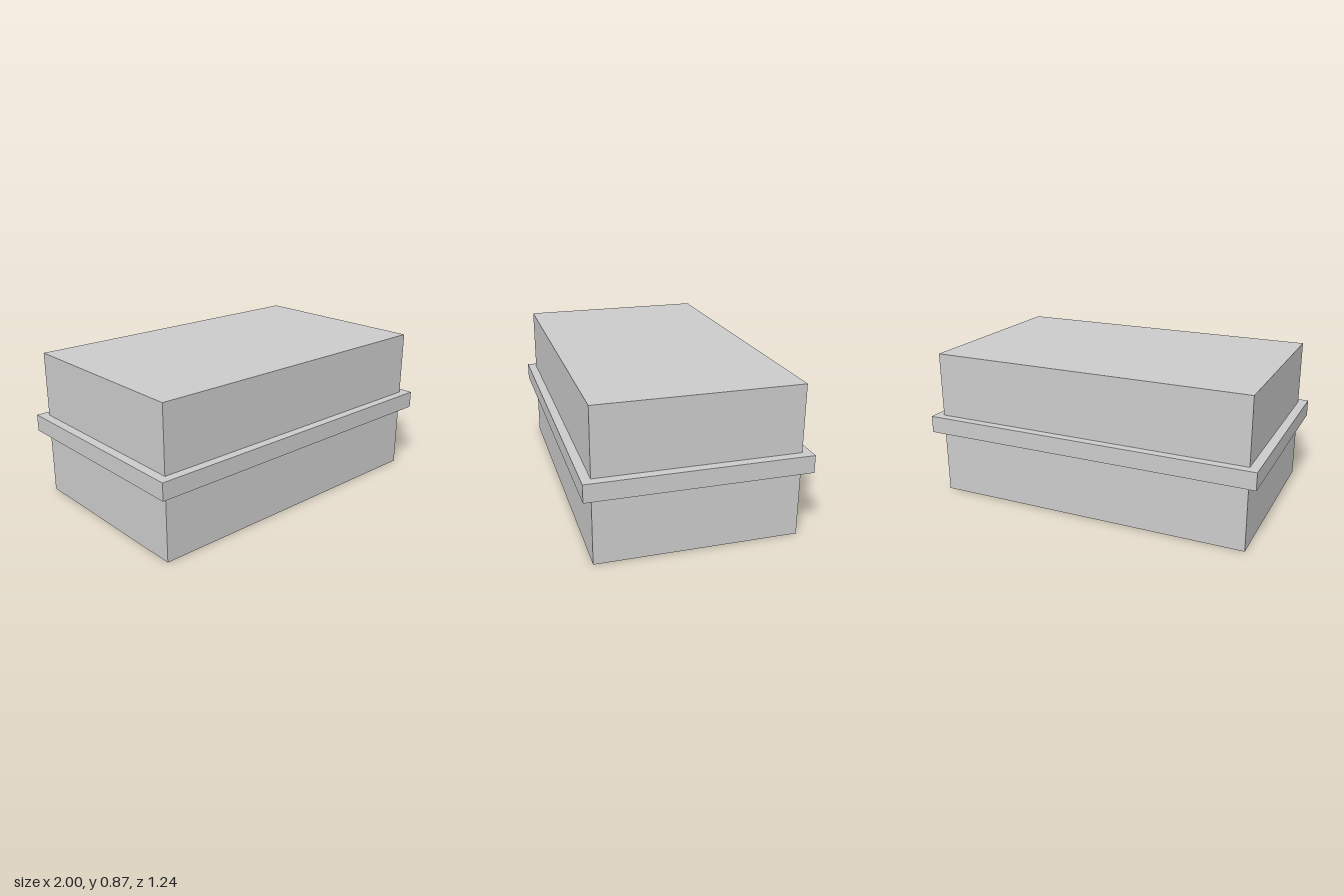
import * as THREE from 'three';

const material = new THREE.MeshStandardMaterial({ color: 0xcccccc, flatShading: true });

// Box centred on x and z, spanning bottom to top in y
function block(name, width, depth, bottom, top) {
  const mesh = new THREE.Mesh(new THREE.BoxGeometry(width, top - bottom, depth), material);
  mesh.position.y = (bottom + top) / 2;
  mesh.name = name;
  return mesh;
}

export function createModel() {
  const model = new THREE.Group();
  model.name = 'bandedBox';
  // Main rectangular body
  model.add(block('body', 1.894, 1.134, 0, 0.867));
  // Projecting band around the middle
  model.add(block('band', 2, 1.236, 0.385, 0.485));
  return model;
}
